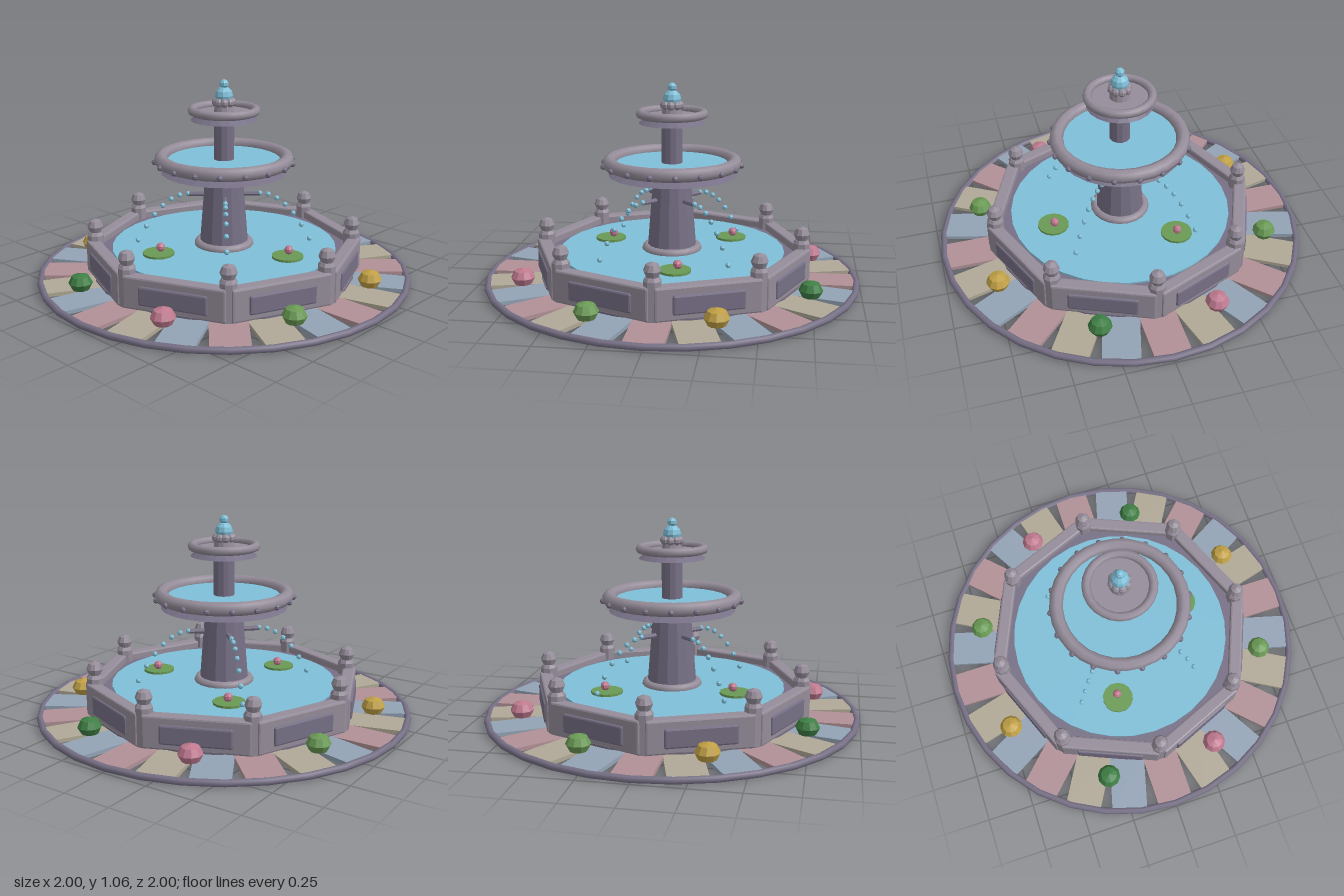
import * as THREE from 'three';
import { RoundedBoxGeometry } from 'three/addons/geometries/RoundedBoxGeometry.js';

const mat = (color, flatShading = true) => new THREE.MeshStandardMaterial({ color, flatShading });
const STONE = mat(0x958d9a), DARK = mat(0x777086), WATER = mat(0x7fbfd8);
const ROUND = mat(0x958d9a, false), RIM = mat(0x777086, false);
const PINK = mat(0xc07a90), GREEN = mat(0x6a9a55), DEEP = mat(0x3f7f45), GOLD = mat(0xc0a045);
const TILES = [mat(0xb09096), mat(0xb0a896), mat(0x93a3b5)];

export function createModel() {
  const model = new THREE.Group();

  const add = (name, geometry, material, x = 0, y = 0, z = 0, turn = 0) => {
    const mesh = new THREE.Mesh(geometry, material);
    mesh.name = name;
    mesh.position.set(x, y, z);
    mesh.rotation.y = turn;
    model.add(mesh);
    return mesh;
  };
  // Cylinder between two heights
  const drum = (name, rTop, rBottom, y0, y1, sides, material, x = 0, z = 0, turn = 0) =>
    add(name, new THREE.CylinderGeometry(rTop, rBottom, y1 - y0, sides), material, x, (y0 + y1) / 2, z, turn);
  // Horizontal ring
  const ring = (name, radius, tube, y, sides, material) =>
    add(name, new THREE.TorusGeometry(radius, tube, 8, sides).rotateX(Math.PI / 2), material, 0, y, 0);
  // Calls fn with x, z and the outward-facing turn for each place on a circle
  const around = (count, radius, offset, fn) => {
    for (let i = 0; i < count; i++) {
      const a = offset + (i * 2 * Math.PI) / count;
      fn(radius * Math.sin(a), radius * Math.cos(a), a, i);
    }
  };

  // Paved surround
  ring('pavingRim', 0.982, 0.018, 0.018, 32, RIM);
  const tile = new THREE.BoxGeometry(0.19, 0.02, 0.3);
  around(24, 0.825, 0, (x, z, a, i) => add('pavingTile', tile, TILES[i % 3], x, 0.02, z, a));

  // Octagonal basin
  drum('basinBase', 0.7, 0.7, 0.005, 0.04, 24, DARK);
  drum('basinFloor', 0.68, 0.68, 0.04, 0.16, 8, DARK);
  drum('basinWater', 0.6, 0.6, 0.15, 0.17, 32, WATER);
  const wall = new RoundedBoxGeometry(0.535, 0.17, 0.07, 1, 0.01);
  const panel = new RoundedBoxGeometry(0.36, 0.1, 0.03, 1, 0.01);
  around(8, 0.655, Math.PI / 8, (x, z, a) => add('basinWall', wall, STONE, x, 0.115, z, a));
  around(8, 0.685, Math.PI / 8, (x, z, a) => add('wallPanel', panel, DARK, x, 0.11, z, a));

  // Corner posts with ball finials
  const ball = new THREE.SphereGeometry(0.043, 10, 4);
  around(8, 0.69, 0, (x, z, a) => {
    drum('cornerPost', 0.045, 0.045, 0.03, 0.225, 8, STONE, x, z, a + Math.PI / 8);
    drum('postCap', 0.034, 0.045, 0.225, 0.242, 8, STONE, x, z, a + Math.PI / 8);
    add('postFinial', ball, STONE, x, 0.273, z, a);
  });

  // Shrubs around the basin
  const shrub = new THREE.SphereGeometry(0.062, 10, 4).scale(1, 0.8, 1);
  around(8, 0.8, Math.PI / 8, (x, z, a, i) =>
    add('shrub', shrub, [GOLD, DEEP, PINK, GREEN][i % 4], x, 0.075, z, a));

  // Lily pads and blossoms: pad x, pad z, blossom x, blossom z
  const blossom = new THREE.SphereGeometry(0.024, 8, 5);
  for (const [x, z, bx, bz] of [[-0.36, -0.13, -0.345, -0.13], [0.3, -0.23, 0.31, -0.23], [0.065, 0.39, 0.08, 0.385]]) {
    drum('lilyPad', 0.083, 0.083, 0.17, 0.182, 14, GREEN, x, z);
    add('lilyBlossom', blossom, PINK, bx, 0.205, bz);
  }

  // Lower column and its foot
  ring('columnFoot', 0.135, 0.025, 0.175, 20, ROUND);
  drum('lowerColumn', 0.095, 0.132, 0.16, 0.62, 14, DARK);

  // Spouts and arcs of drops on the diagonals
  const spout = new THREE.CylinderGeometry(0.013, 0.013, 0.1, 8).rotateX(Math.PI / 2);
  const drop = new THREE.SphereGeometry(0.014, 8, 5);
  around(4, 0.14, Math.PI / 4, (x, z, a) => {
    add('spout', spout, DARK, x, 0.448, z, a);
    for (let i = 0; i < 7; i++) {
      const d = 0.135 + 0.032 * i;
      add('waterDrop', drop, WATER, d * Math.sign(x), 0.45 - 7 * (d - 0.135) ** 2, d * Math.sign(z));
    }
  });

  // Middle tier
  drum('middleBowl', 0.25, 0.335, 0.575, 0.615, 24, DARK);
  drum('middleWater', 0.31, 0.31, 0.62, 0.64, 28, WATER);
  ring('middleRim', 0.332, 0.036, 0.642, 28, ROUND);
  const bead = new THREE.SphereGeometry(0.016, 8, 5);
  around(18, 0.365, Math.PI / 18, (x, z, a) => add('rimBead', bead, DARK, x, 0.632, z, a));

  // Upper tier
  drum('upperColumn', 0.055, 0.055, 0.62, 0.88, 12, DARK);
  drum('upperBowl', 0.13, 0.175, 0.85, 0.88, 20, DARK);
  drum('upperDish', 0.155, 0.155, 0.875, 0.892, 20, STONE);
  ring('upperRim', 0.167, 0.023, 0.9, 24, ROUND);

  // Crown with a bubbling top
  drum('crownStem', 0.045, 0.055, 0.89, 0.95, 12, STONE);
  const knob = new THREE.SphereGeometry(0.024, 8, 5);
  around(8, 0.04, 0, (x, z, a) => add('crownKnob', knob, STONE, x, 0.943, z, a));
  add('crownWater', new THREE.SphereGeometry(0.048, 10, 6), WATER, 0, 0.977, 0);
  add('topDrop', new THREE.SphereGeometry(0.025, 8, 5), WATER, 0, 1.037, 0);

  return model;
}
